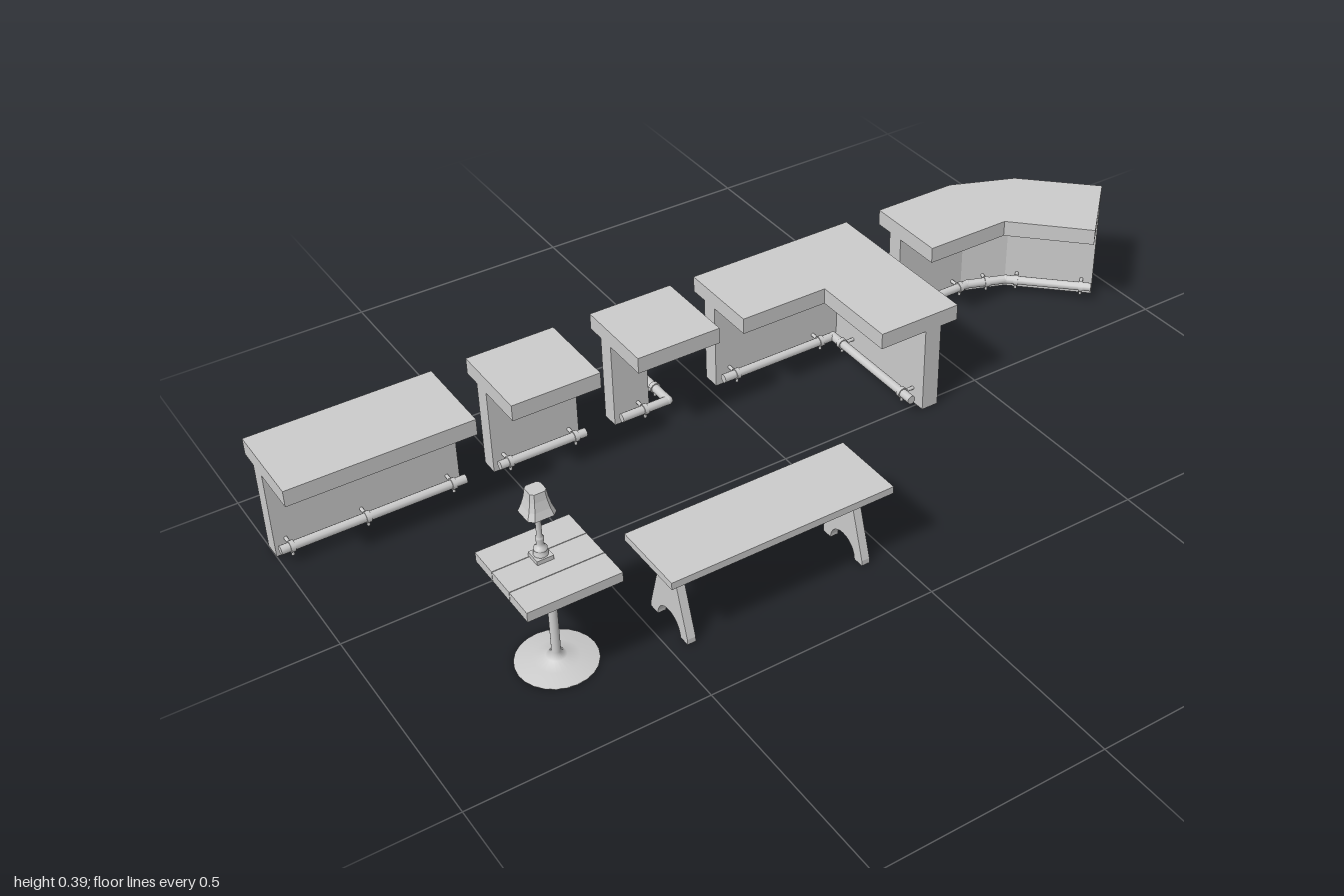
import * as THREE from 'three';

const material = new THREE.MeshStandardMaterial({ color: 0xcccccc, flatShading: true });
const smooth = new THREE.MeshStandardMaterial({ color: 0xcccccc, side: THREE.DoubleSide });

function add(parent, name, geometry, mat = material) {
  const mesh = new THREE.Mesh(geometry, mat);
  mesh.name = name;
  parent.add(mesh);
  return mesh;
}

function box(parent, name, x0, x1, y0, y1, z0, z1) {
  add(parent, name, new THREE.BoxGeometry(x1 - x0, y1 - y0, z1 - z0))
    .position.set((x0 + x1) / 2, (y0 + y1) / 2, (z0 + z1) / 2);
}

const outline = pts => new THREE.Shape(pts.map(p => new THREE.Vector2(...p)));

// Upright prism over a floor plan of [x, z] points
function prism(parent, name, plan, y0, y1) {
  const g = new THREE.ExtrudeGeometry(outline(plan), { depth: y1 - y0, bevelEnabled: false });
  g.rotateX(Math.PI / 2).translate(0, y1, 0);
  add(parent, name, g);
}

// Prism along x from a cross-section in z and y
function crossPrism(parent, name, shape, x0, x1) {
  const g = new THREE.ExtrudeGeometry(shape, { depth: x1 - x0, bevelEnabled: false, curveSegments: 8 });
  g.rotateY(-Math.PI / 2).translate(x1, 0, 0);
  add(parent, name, g);
}

function rod(parent, name, a, b, r, sides = 10) {
  const d = b.clone().sub(a);
  const m = add(parent, name, new THREE.CylinderGeometry(r, r, d.length(), sides), smooth);
  m.position.copy(a).addScaledVector(d, 0.5);
  m.quaternion.setFromUnitVectors(new THREE.Vector3(0, 1, 0), d.normalize());
}

// Foot rail along [x, z] points, with brackets reaching back to the wall
function footRail(parent, path) {
  const rail = new THREE.Group();
  rail.name = 'footRail';
  parent.add(rail);
  const pts = path.map(([x, z]) => new THREE.Vector3(x, 0.037, z));
  for (let i = 0; i < pts.length - 1; i++) {
    const a = pts[i], b = pts[i + 1];
    const dir = b.clone().sub(a), length = dir.length();
    dir.normalize();
    const toWall = new THREE.Vector3(dir.z, 0, -dir.x);
    rod(rail, 'rail', a, b, 0.01);
    if (i > 0) add(rail, 'railElbow', new THREE.SphereGeometry(0.0105, 10, 8), smooth).position.copy(a);
    const stops = length > 0.3 ? [0.06, 0.46, 0.93] : length > 0.15 ? [0.12, 0.88] : [0.5];
    for (const t of stops) {
      const c = a.clone().lerp(b, t);
      rod(rail, 'collar', c.clone().addScaledVector(dir, -0.005), c.clone().addScaledVector(dir, 0.005), 0.0125);
      rod(rail, 'bracket', c, c.clone().addScaledVector(toWall, 0.032), 0.004, 8);
      rod(rail, 'peg', c, c.clone().setY(0.016), 0.0035, 8);
    }
  }
}

function counter(root, name, top, wall, rail) {
  const g = new THREE.Group();
  g.name = name;
  root.add(g);
  prism(g, 'counterTop', top, 0.202, 0.239);
  prism(g, 'counterWall', wall, 0, 0.202);
  footRail(g, rail);
}

const rect = (x0, x1, z0, z1) => [[x0, z0], [x1, z0], [x1, z1], [x0, z1]];

function buildCounters(root) {
  // Two straight runs
  for (const [name, x0, x1] of [['longCounter', -1, -0.6], ['shortCounter', -0.523, -0.322]]) {
    counter(root, name, rect(x0, x1, -0.382, -0.186), rect(x0, x1, -0.34, -0.3), [[x0, -0.27], [x1, -0.27]]);
  }
  // Outer corner
  counter(root, 'outerCornerCounter', rect(-0.235, -0.039, -0.382, -0.186),
    [[-0.235, -0.34], [-0.19, -0.34], [-0.19, -0.382], [-0.15, -0.382], [-0.15, -0.3], [-0.235, -0.3]],
    [[-0.235, -0.27], [-0.12, -0.27], [-0.12, -0.382]]);
  // Inner corner
  counter(root, 'innerCornerCounter',
    [[0.02, -0.382], [0.422, -0.382], [0.422, 0.021], [0.226, 0.021], [0.226, -0.186], [0.02, -0.186]],
    [[0.02, -0.34], [0.38, -0.34], [0.38, 0.021], [0.34, 0.021], [0.34, -0.3], [0.02, -0.3]],
    [[0.02, -0.27], [0.31, -0.27], [0.31, 0.021]]);
  // Angled end
  counter(root, 'angledCounter',
    [[0.513, -0.382], [0.713, -0.382], [0.856, -0.323], [1, -0.183], [0.858, -0.043], [0.716, -0.186], [0.513, -0.186]],
    [[0.513, -0.34], [0.704, -0.34], [0.832, -0.292], [0.97, -0.152], [0.94, -0.122], [0.795, -0.262], [0.694, -0.3], [0.513, -0.3]],
    [[0.513, -0.27], [0.688, -0.27], [0.776, -0.237], [0.917, -0.1]]);
}

function buildBench(root) {
  const g = new THREE.Group();
  g.name = 'bench';
  root.add(g);
  box(g, 'benchSeat', -0.505, -0.01, 0.168, 0.184, 0.215, 0.382);
  crossPrism(g, 'benchApron', outline([[0.255, 0.155], [0.342, 0.155], [0.356, 0.168], [0.241, 0.168]]), -0.468, -0.047);
  // Tapered end boards with an arch between the feet
  const leg = new THREE.Shape();
  leg.moveTo(0.233, 0).lineTo(0.258, 0);
  leg.absellipse(0.2985, 0, 0.0405, 0.039, Math.PI, 0, true);
  leg.lineTo(0.364, 0).lineTo(0.364, 0.012).lineTo(0.32, 0.155).lineTo(0.277, 0.155).lineTo(0.233, 0.012);
  for (const x of [-0.466, -0.067]) crossPrism(g, 'benchLeg', leg, x, x + 0.018);
}

function buildTable(root) {
  const g = new THREE.Group();
  g.name = 'table';
  root.add(g);
  for (let i = 0; i < 3; i++) {
    const z = 0.165 + i * 0.0655;
    box(g, 'tablePlank', -0.782, -0.59, 0.215, 0.236, z, z + 0.064);
  }
  const profile = [[0, 0], [0.08, 0], [0.08, 0.003], [0.045, 0.008], [0.02, 0.014], [0.009, 0.024], [0.009, 0.215]];
  add(g, 'tablePedestal', new THREE.LatheGeometry(profile.map(p => new THREE.Vector2(...p)), 24), smooth)
    .position.set(-0.686, 0, 0.262);
}

function buildLamp(root) {
  const g = new THREE.Group();
  g.name = 'lamp';
  g.position.set(-0.69, 0.236, 0.243);
  root.add(g);
  box(g, 'lampFoot', -0.017, 0.017, 0, 0.009, -0.017, 0.017);
  const profile = [[0.014, 0.009], [0.014, 0.013], [0.011, 0.018], [0.013, 0.02], [0.013, 0.024], [0.008, 0.028],
    [0.0065, 0.034], [0.008, 0.044], [0.008, 0.048], [0.0055, 0.05], [0.0055, 0.09], [0.011, 0.102], [0.011, 0.107], [0, 0.107]];
  add(g, 'lampStem', new THREE.LatheGeometry(profile.map(p => new THREE.Vector2(...p)), 14), smooth);
  // Flared shade: a square plan with cut corners
  const shadeProfile = [[0.031, 0.107], [0.025, 0.122], [0.02, 0.14], [0.0175, 0.157], [0, 0.157]];
  const shade = new THREE.LatheGeometry(shadeProfile.map(p => new THREE.Vector2(...p)), 8).rotateY(Math.PI / 8);
  const pos = shade.attributes.position;
  for (let i = 0; i < pos.count; i++) {
    const x = pos.getX(i), z = pos.getZ(i);
    if (Math.abs(x) < Math.abs(z)) pos.setX(i, x * 1.6);
    else pos.setZ(i, z * 1.6);
  }
  const shadeMaterial = material.clone();
  shadeMaterial.side = THREE.DoubleSide;
  add(g, 'lampShade', shade, shadeMaterial);
}

export function createModel() {
  const root = new THREE.Group();
  root.name = 'barFurniture';
  buildCounters(root);
  buildBench(root);
  buildTable(root);
  buildLamp(root);
  return root;
}
